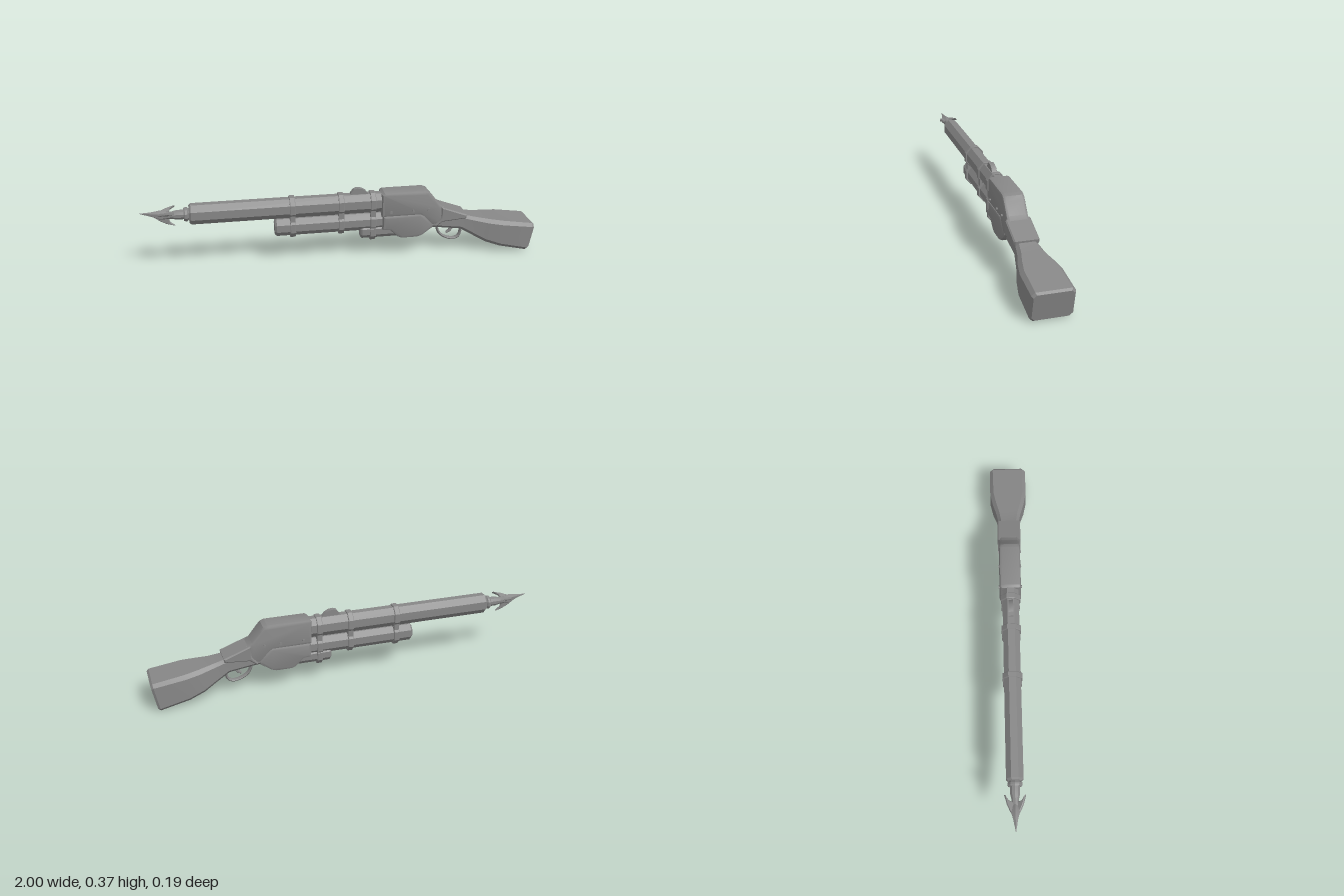
import * as THREE from 'three';
import { toCreasedNormals } from 'three/addons/utils/BufferGeometryUtils.js';

const gunmetal = new THREE.MeshStandardMaterial({ color: 0x878787 });
gunmetal.name = 'gunmetal grey';

export function createModel() {
  const model = new THREE.Group();
  model.name = 'harpoonGun';

  const add = (name, geo, crease = 0.45) => {
    const mesh = new THREE.Mesh(toCreasedNormals(geo, crease), gunmetal);
    mesh.name = name;
    model.add(mesh);
    return mesh;
  };

  // Turned part along x from [x, radius] pairs
  const turned = (profile, y, sides = 8, zScale = 1) => {
    const g = new THREE.LatheGeometry(profile.map(([x, r]) => new THREE.Vector2(r, x)), sides);
    g.rotateY(Math.PI / sides);
    g.rotateZ(-Math.PI / 2);
    g.scale(1, 1, zScale);
    g.translate(0, y, 0);
    return g;
  };

  // Side outline extruded across z with bevelled edges
  const plate = (pts, halfWidth, bevel = 0, segments = 2) => {
    const shape = new THREE.Shape(pts.map(([x, y]) => new THREE.Vector2(x, y)));
    const depth = 2 * (halfWidth - bevel);
    const g = new THREE.ExtrudeGeometry(shape, {
      depth, bevelEnabled: bevel > 0, bevelThickness: bevel, bevelSize: bevel,
      bevelOffset: -bevel, bevelSegments: segments,
    });
    g.translate(0, 0, -depth / 2);
    return g;
  };

  // Loft of chamfered rectangles: [topX, topY, bottomX, bottomY, halfWidth, chamfer]
  const loft = (sections) => {
    const pos = [], index = [], n = 8;
    for (const [tx, ty, bx, by, w, c] of sections) {
      const f = c / (ty - by);
      const ring = [[1, w - c], [1 - f, w], [f, w], [0, w - c], [0, c - w], [f, -w], [1 - f, -w], [1, c - w]];
      for (const [t, z] of ring) pos.push(bx + (tx - bx) * t, by + (ty - by) * t, z);
    }
    for (let s = 0; s < sections.length - 1; s++) {
      for (let k = 0; k < n; k++) {
        const a = s * n + k, b = s * n + (k + 1) % n;
        index.push(a, b, b + n, a, b + n, a + n);
      }
    }
    const last = (sections.length - 1) * n;
    for (let k = 1; k < n - 1; k++) index.push(0, k + 1, k, last, last + k, last + k + 1);
    const g = new THREE.BufferGeometry();
    g.setAttribute('position', new THREE.Float32BufferAttribute(pos, 3));
    g.setIndex(index);
    return g;
  };

  // Barrel and the two tubes below it
  const capped = (x0, x1, r, c) => [[x0, 0], [x0, r - c], [x0 + c, r], [x1 - c, r], [x1, r - c], [x1, 0]];
  add('barrel', turned(capped(-0.76, 0.22, 0.054, 0.01), 0.295, 8, 0.82));
  add('magazineTube', turned(capped(-0.345, 0.27, 0.048, 0.01), 0.195, 8, 0.85));
  add('lowerTube', turned(capped(0.09, 0.3, 0.04, 0.008), 0.142, 8, 0.9));

  // Clamping bands
  const band = (x, y, r, zScale) => add('bandRing',
    turned([[x - 0.014, r - 0.012], [x - 0.014, r - 0.002], [x - 0.011, r], [x + 0.011, r],
      [x + 0.014, r - 0.002], [x + 0.014, r - 0.012]], y, 8, zScale));
  for (const x of [-0.255, -0.01, 0.152]) {
    band(x, 0.295, 0.061, 0.86);
    band(x, 0.195, 0.058, 0.87);
    add('bandBridge', new THREE.BoxGeometry(0.026, 0.04, 0.076).translate(x, 0.244, 0));
  }
  band(0.152, 0.142, 0.051, 0.9);

  // Rear sight
  add('sight', plate([[0.04, 0.335], [0.042, 0.353], [0.056, 0.371], [0.072, 0.376], [0.095, 0.373],
    [0.115, 0.362], [0.13, 0.345], [0.13, 0.335]], 0.012));

  // Receiver halves
  add('upperReceiver', plate([[0.195, 0.225], [0.195, 0.345], [0.208, 0.353], [0.415, 0.353], [0.435, 0.345],
    [0.453, 0.325], [0.495, 0.272], [0.52, 0.255], [0.51, 0.17], [0.45, 0.165], [0.395, 0.225]], 0.053, 0.013));
  add('lowerReceiver', plate([[0.2, 0.231], [0.395, 0.231], [0.42, 0.218], [0.465, 0.168], [0.46, 0.152],
    [0.405, 0.112], [0.38, 0.104], [0.3, 0.104], [0.28, 0.112], [0.24, 0.15], [0.2, 0.155]], 0.055, 0.012));

  // Receiver screws on both sides
  for (const side of [1, -1]) {
    for (const x of [0.24, 0.355, 0.435]) {
      add('screw', new THREE.CylinderGeometry(0.007, 0.007, 0.01, 10)
        .rotateX(Math.PI / 2).translate(x, 0.252, side * 0.054));
    }
  }

  // Stock, from wrist to butt
  add('stock', loft([
    [0.43, 0.28, 0.42, 0.15, 0.048, 0.012],
    [0.50, 0.265, 0.47, 0.148, 0.05, 0.014],
    [0.635, 0.203, 0.61, 0.13, 0.052, 0.014],
    [0.70, 0.19, 0.68, 0.09, 0.064, 0.016],
    [0.76, 0.182, 0.74, 0.058, 0.082, 0.018],
    [0.83, 0.173, 0.815, 0.034, 0.096, 0.018],
    [0.985, 0.15, 0.957, 0.003, 0.097, 0.016],
    [0.995, 0.141, 0.969, 0.01, 0.09, 0.014],
  ]));

  // Raised wrist plate
  add('wristPlate', plate([[0.503, 0.232], [0.502, 0.262], [0.638, 0.212], [0.635, 0.192], [0.51, 0.182], [0.475, 0.155],
    [0.47, 0.165], [0.5, 0.2]], 0.06, 0.006, 1));

  // Trigger guard and trigger
  const curve = (pts) => new THREE.CatmullRomCurve3(pts.map(([x, y]) => new THREE.Vector3(x, y, 0)));
  add('triggerGuard', new THREE.TubeGeometry(curve([[0.495, 0.16], [0.497, 0.125], [0.515, 0.092], [0.55, 0.07],
    [0.588, 0.063], [0.613, 0.074], [0.623, 0.1], [0.625, 0.14]]), 28, 0.007, 8).scale(1, 1, 1.8), 0.9);
  add('trigger', plate([[0.562, 0.15], [0.585, 0.15], [0.58, 0.118], [0.568, 0.102], [0.548, 0.094],
    [0.546, 0.102], [0.56, 0.112], [0.567, 0.125]], 0.008, 0.002, 1));

  // Harpoon shaft, collar and point
  const axisY = 0.295;
  add('shaft', turned([[-0.9, 0], [-0.9, 0.018], [-0.84, 0.019], [-0.82, 0.024], [-0.74, 0.025]], axisY, 10));
  add('collar', turned([[-0.785, 0.02], [-0.785, 0.032], [-0.778, 0.036], [-0.768, 0.036], [-0.762, 0.03],
    [-0.755, 0.03]], axisY, 10));
  const point = turned([[-1, 0], [-0.94, 0.012], [-0.9, 0.024], [-0.865, 0.018], [-0.855, 0]], axisY, 6);
  const p = point.attributes.position;
  for (let i = 0; i < p.count; i++) p.setY(i, p.getY(i) + Math.max(0, -0.87 - p.getX(i)) * 0.14);
  add('harpoonPoint', point);

  // Three swept barbs around the point
  for (let i = 0; i < 3; i++) {
    const barb = plate([[-0.925, 0.008], [-0.9, 0.027], [-0.87, 0.043], [-0.828, 0.056], [-0.852, 0.036],
      [-0.858, 0.014]], 0.007, 0.003, 1);
    barb.rotateX(Math.PI + i * Math.PI * 2 / 3);
    barb.translate(0, axisY, 0);
    add('barb', barb);
  }

  return model;
}
